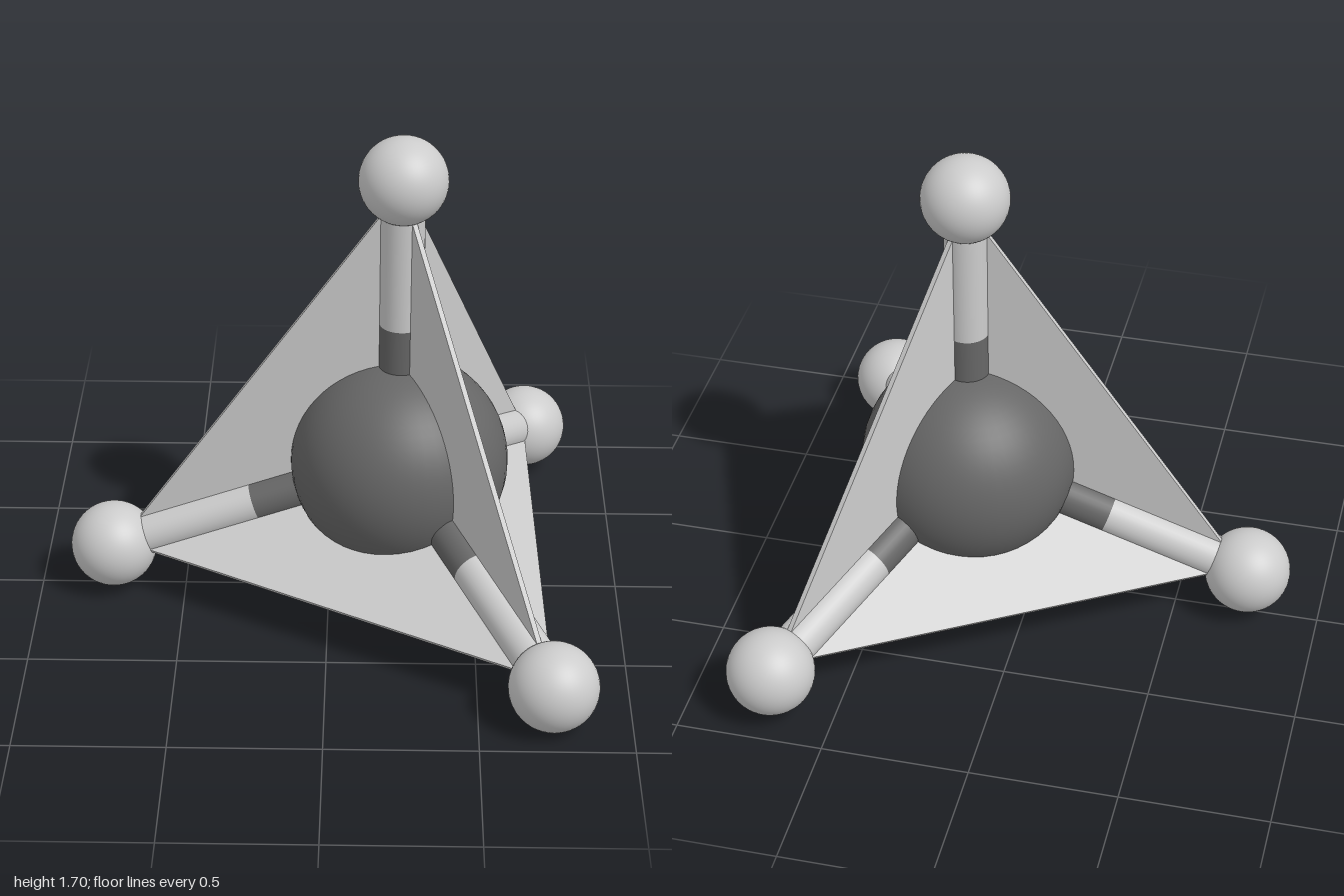
import * as THREE from 'three';

const light = new THREE.MeshStandardMaterial({ color: 0xcccccc });
const dark = new THREE.MeshStandardMaterial({ color: 0x666666 });

const centre = new THREE.Vector3(0.24, 0.51, 0.005);
const corners = {
  top: new THREE.Vector3(0.243, 1.553, 0.023),
  left: new THREE.Vector3(0.74, 0.15, 0.85),
  back: new THREE.Vector3(0.71, 0.175, -0.853),
  right: new THREE.Vector3(-0.745, 0.17, 0.018),
};
const BOND_RADIUS = 0.074;
const PANEL_THICKNESS = 0.018;

function addBall(group, name, position, radius, material) {
  const ball = new THREE.Mesh(new THREE.SphereGeometry(radius, 48, 32), material);
  ball.name = name;
  ball.position.copy(position);
  group.add(ball);
}

// Straight rod between two points
function addRod(group, name, a, b, material) {
  const dir = b.clone().sub(a);
  const rod = new THREE.Mesh(
    new THREE.CylinderGeometry(BOND_RADIUS, BOND_RADIUS, dir.length(), 32), material);
  rod.name = name;
  rod.position.copy(a).lerp(b, 0.5);
  rod.quaternion.setFromUnitVectors(new THREE.Vector3(0, 1, 0), dir.normalize());
  group.add(rod);
}

// Thin triangular sheet from the centre to two outer balls
function addPanel(group, name, a, b) {
  const u = a.clone().sub(centre).multiplyScalar(0.98);
  const v = b.clone().sub(centre).multiplyScalar(0.98);
  const xAxis = u.clone().normalize();
  const zAxis = u.clone().cross(v).normalize();
  const yAxis = zAxis.clone().cross(xAxis);
  const shape = new THREE.Shape([
    new THREE.Vector2(0, 0),
    new THREE.Vector2(u.length(), 0),
    new THREE.Vector2(v.dot(xAxis), v.dot(yAxis)),
  ]);
  const geometry = new THREE.ExtrudeGeometry(shape, { depth: PANEL_THICKNESS, bevelEnabled: false });
  geometry.translate(0, 0, -PANEL_THICKNESS / 2);
  const panel = new THREE.Mesh(geometry, light);
  panel.name = name;
  panel.quaternion.setFromRotationMatrix(new THREE.Matrix4().makeBasis(xAxis, yAxis, zAxis));
  panel.position.copy(centre);
  group.add(panel);
}

export function createModel() {
  const model = new THREE.Group();
  model.name = 'tetrahedralMolecule';

  addBall(model, 'centralAtom', centre, 0.37, dark);

  // Outer atoms with two-tone bonds
  const names = Object.keys(corners);
  for (const name of names) {
    const end = corners[name];
    const middle = centre.clone().lerp(end, 0.5);
    addBall(model, name + 'Atom', end, 0.148, light);
    addRod(model, name + 'BondInner', centre, middle, dark);
    addRod(model, name + 'BondOuter', middle, end, light);
  }

  // One dividing panel for each pair of outer atoms
  for (let i = 0; i < names.length; i++) {
    for (let j = i + 1; j < names.length; j++) {
      addPanel(model, `${names[i]}To${names[j]}Panel`, corners[names[i]], corners[names[j]]);
    }
  }
  return model;
}
